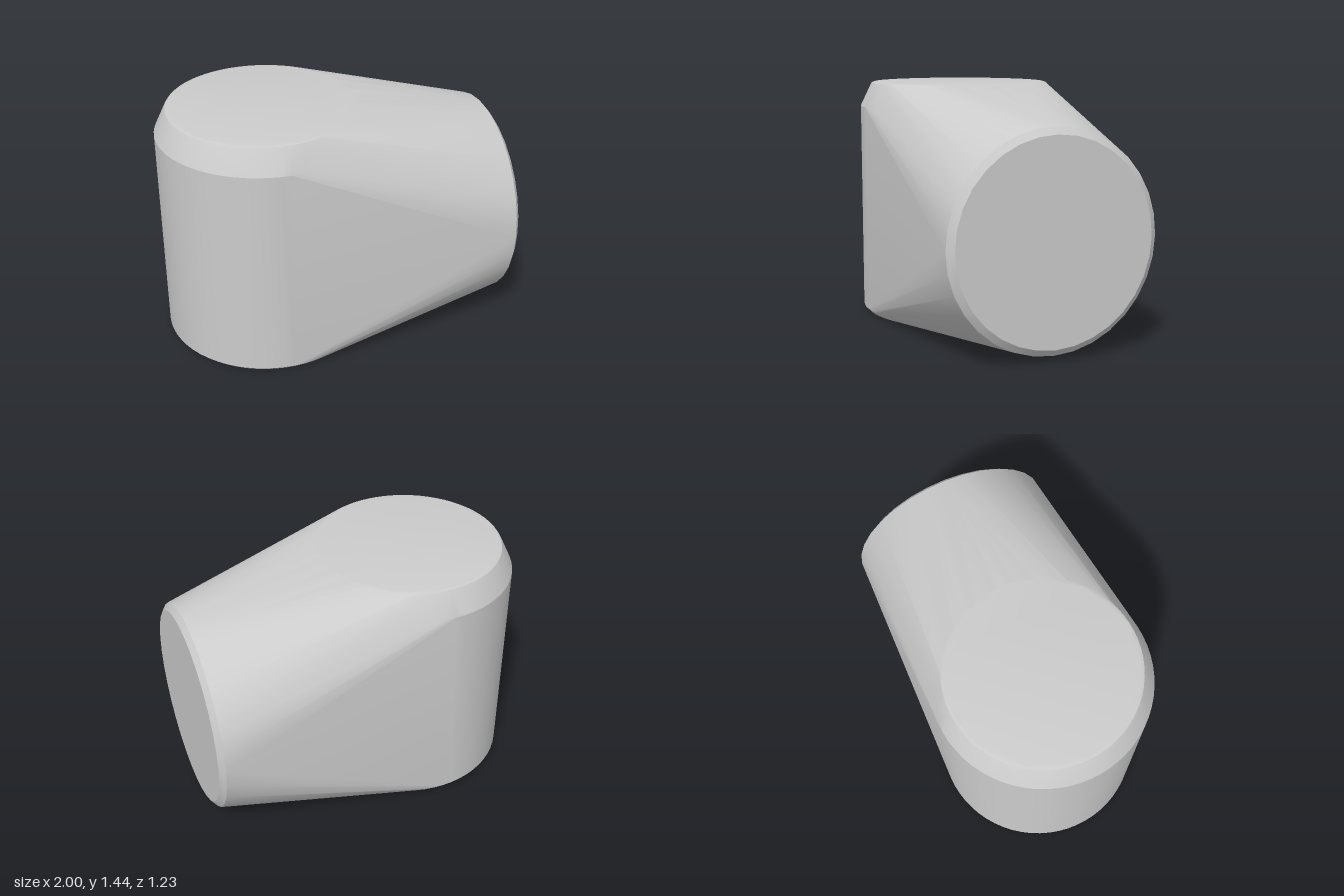
import * as THREE from 'three';
import { ConvexGeometry } from 'three/addons/geometries/ConvexGeometry.js';
import { toCreasedNormals } from 'three/addons/utils/BufferGeometryUtils.js';

const POST_X = -0.385; // axis of the upright round post
const MOUTH_Y = 0.645; // axis of the sideways round end

// Points of a circle, placed by a function of its two in-plane coordinates
function ring(radius, segments, place) {
  return Array.from({ length: segments }, (_, i) => {
    const a = (i / segments) * Math.PI * 2;
    return place(radius * Math.cos(a), radius * Math.sin(a));
  });
}

export function createModel() {
  const group = new THREE.Group();
  group.name = 'elbowBlock';
  const points = [];

  // Upright post: [radius, height], with a small foot chamfer and a tall top bevel
  const post = [[0.59, 0], [0.615, 0.025], [0.615, 1.29], [0.553, 1.42], [0.545, 1.432], [0.53, 1.437]];
  for (const [r, y] of post) {
    points.push(...ring(r, 64, (u, v) => new THREE.Vector3(POST_X + u, y, v)));
  }

  // Sideways round end: [radius, x], with a chamfered rim
  for (const [r, x] of [[0.615, 0.97], [0.575, 1]]) {
    points.push(...ring(r, 32, (u, v) => new THREE.Vector3(x, MOUTH_Y + u, v)));
  }

  // The skin stretched tightly around both round forms
  const skin = toCreasedNormals(new ConvexGeometry(points), 0.42);
  const body = new THREE.Mesh(skin, new THREE.MeshStandardMaterial({ color: 0xcccccc }));
  body.name = 'body';
  group.add(body);
  return group;
}
